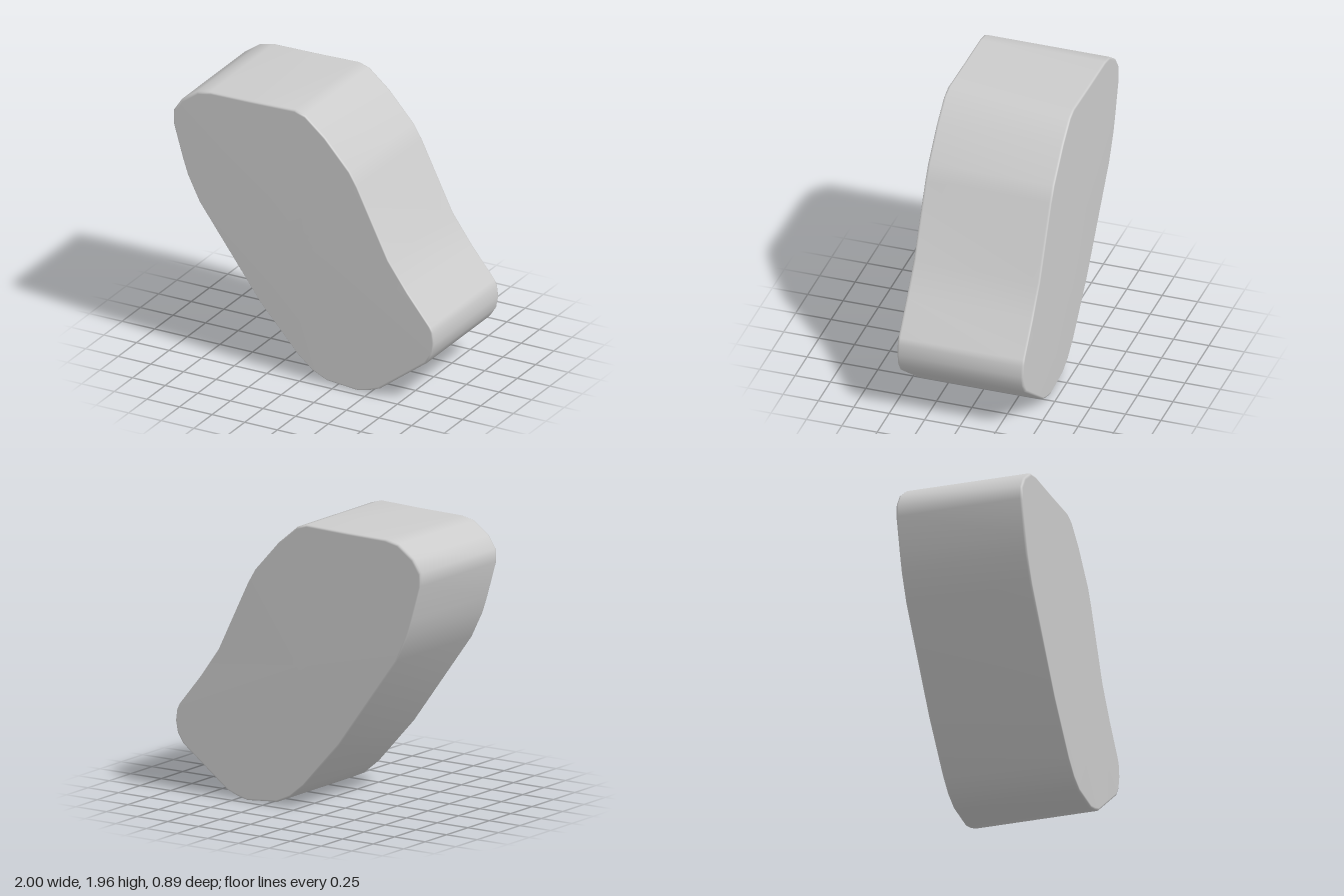
import * as THREE from 'three';

// Slab outline in x, y, clockwise seen from the front
const OUTLINE = [
  [-1, 1.75], [-0.94, 1.84], [-0.82, 1.925], [-0.72, 1.945], [-0.4, 1.95], [-0.07, 1.96], [0.01, 1.935],
  [0.16, 1.81], [0.35, 1.6], [0.41, 1.5], [0.65, 1.01], [0.8, 0.8], [0.97, 0.59], [0.99, 0.55],
  [1, 0.47], [0.985, 0.39], [0.94, 0.32], [0.58, 0.05], [0.5, 0.02], [0.42, 0], [0.18, 0.02],
  [0.07, 0.07], [-0.04, 0.16], [-0.33, 0.48], [-0.8, 1.12], [-0.89, 1.3], [-0.93, 1.42], [-1, 1.66],
].reverse();
const CENTRE = [0, 0.98];

// Rings from front to back: scale about the centre, z
const RINGS = [[0.985, 0.447], [0.996, 0.442], [1, 0.43], [1, -0.43], [0.996, -0.442], [0.985, -0.447]];

function slabGeometry() {
  const n = OUTLINE.length;
  const pos = [];
  const index = [];
  for (const [s, z] of RINGS) {
    for (const [x, y] of OUTLINE) {
      pos.push(CENTRE[0] + (x - CENTRE[0]) * s, CENTRE[1] + (y - CENTRE[1]) * s, z);
    }
  }
  const front = pos.length / 3;
  const back = front + 1;
  const last = RINGS.length - 1;
  pos.push(...CENTRE, RINGS[0][1], ...CENTRE, RINGS[last][1]);

  for (let i = 0; i < n; i++) {
    const j = (i + 1) % n;
    // Side wall and softened rims
    for (let r = 0; r < last; r++) {
      const a = r * n + i, b = r * n + j, c = a + n, d = b + n;
      index.push(a, c, b, b, c, d);
    }
    // Front and back faces
    index.push(front, i, j, back, last * n + j, last * n + i);
  }
  const geo = new THREE.BufferGeometry();
  geo.setAttribute('position', new THREE.Float32BufferAttribute(pos, 3));
  geo.setIndex(index);
  geo.computeVertexNormals();
  return geo;
}

export function createModel() {
  const group = new THREE.Group();
  group.name = 'leaningStone';
  const slab = new THREE.Mesh(slabGeometry(), new THREE.MeshStandardMaterial({ color: 0xcccccc }));
  slab.name = 'stoneSlab';
  group.add(slab);
  return group;
}
